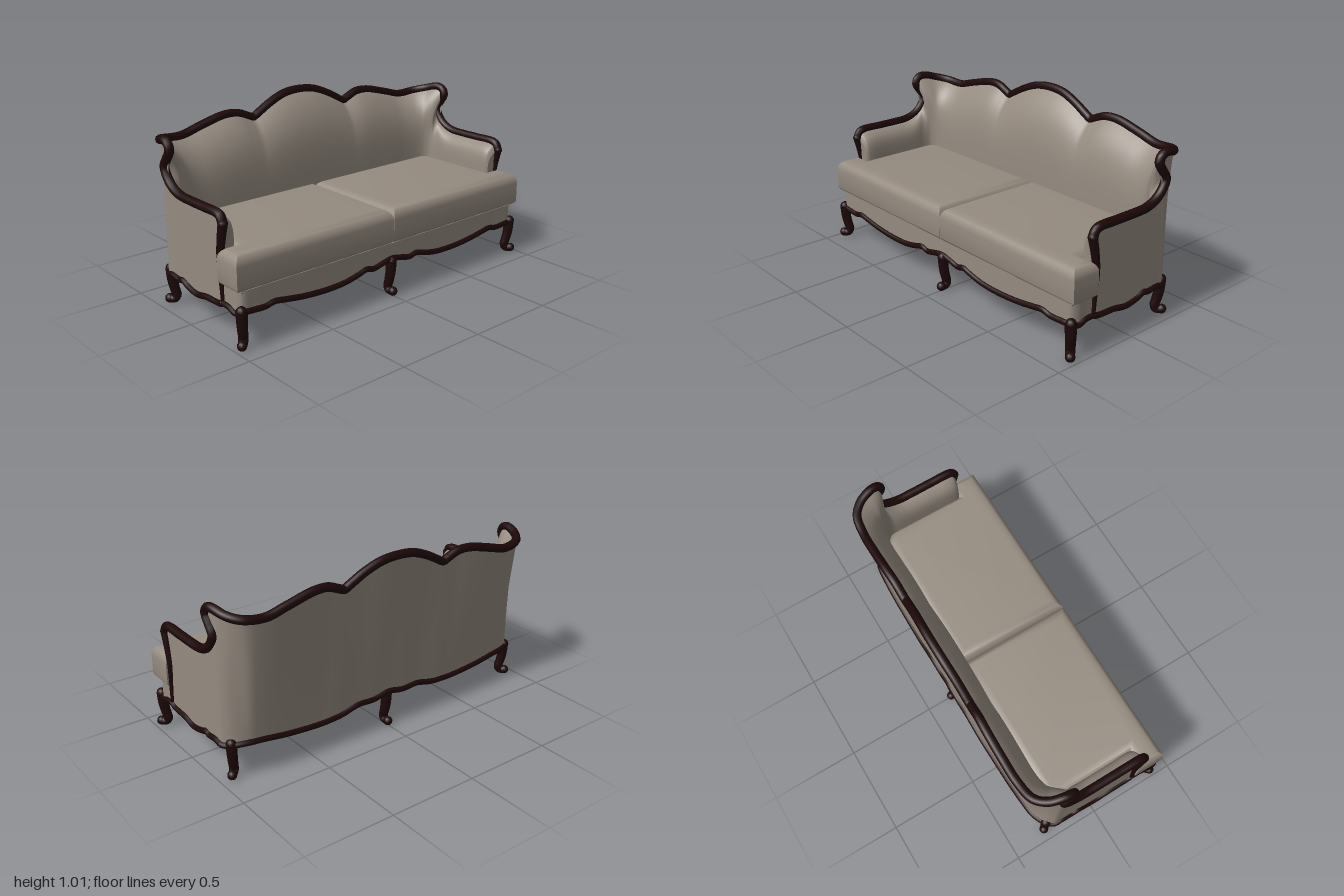
import * as THREE from 'three';
import { toCreasedNormals } from 'three/addons/utils/BufferGeometryUtils.js';

const V = (p) => new THREE.Vector3(...p);
const spline = (pts) => new THREE.CatmullRomCurve3(pts.map(V), false, 'centripetal');
// mirror a half path (left end to centre) into a full one
const full = (h) => spline([...h, ...h.slice(0, -1).reverse().map(([x, y, z]) => [-x, y, z])]);
const smooth = THREE.MathUtils.smoothstep;

// surface from f(u, v) -> Vector3
function grid(nu, nv, f) {
  const pos = [], idx = [];
  for (let j = 0; j <= nv; j++)
    for (let i = 0; i <= nu; i++) pos.push(...f(i / nu, j / nv).toArray());
  for (let j = 0; j < nv; j++)
    for (let i = 0; i < nu; i++) {
      const a = j * (nu + 1) + i, b = a + nu + 1;
      idx.push(a, a + 1, b, a + 1, b + 1, b);
    }
  const g = new THREE.BufferGeometry();
  g.setAttribute('position', new THREE.Float32BufferAttribute(pos, 3));
  g.setIndex(idx);
  g.computeVertexNormals();
  return g;
}

// tube whose radius runs from r0 to r1
function taperedTube(path, segs, r0, r1 = r0) {
  const radial = 10, g = new THREE.TubeGeometry(path, segs, r0, radial);
  const p = g.attributes.position, v = new THREE.Vector3();
  for (let k = 0; k < p.count; k++) {
    const t = Math.floor(k / (radial + 1)) / segs, c = path.getPointAt(t);
    v.fromBufferAttribute(p, k).sub(c).multiplyScalar(1 + (r1 / r0 - 1) * t).add(c);
    p.setXYZ(k, v.x, v.y, v.z);
  }
  return g;
}

export function createModel() {
  const sofa = new THREE.Group();
  sofa.name = 'sofa';
  const fabric = new THREE.MeshStandardMaterial({ color: 0x958b80, side: THREE.DoubleSide });
  fabric.name = 'taupe fabric';
  const wood = new THREE.MeshStandardMaterial({ color: 0x1d0708 });
  wood.name = 'dark wood';
  const add = (name, geo, mat, parent = sofa) => {
    const m = new THREE.Mesh(geo, mat);
    m.name = name;
    parent.add(m);
    return m;
  };

  // matching half outlines: top rail, lower outer edge, inner padding at the seat
  const X = 0.963;
  const rail = full([
    [X, 0.6, 0.266], [X, 0.636, 0.245], [X, 0.643, 0.1], [X, 0.643, 0], [X, 0.648, -0.1],
    [X, 0.675, -0.17], [X, 0.72, -0.215], [X, 0.765, -0.232], [X, 0.81, -0.205],
    [X, 0.855, -0.177], [X, 0.887, -0.19], [0.96, 0.899, -0.23], [0.935, 0.88, -0.31],
    [0.88, 0.864, -0.365], [0.77, 0.855, -0.385], [0.65, 0.885, -0.39], [0.5, 0.92, -0.39],
    [0.42, 0.918, -0.386], [0.355, 0.893, -0.384], [0.32, 0.88, -0.383], [0.285, 0.897, -0.384],
    [0.2, 0.942, -0.388], [0.1, 0.979, -0.394], [0, 0.989, -0.396]]);
  const base = full([
    [X, 0.195, 0.245], [X, 0.185, 0.22], [X, 0.178, 0.1], [X, 0.164, 0.02], [X, 0.177, -0.06],
    [X, 0.195, -0.11], [X, 0.188, -0.14], [X, 0.192, -0.18], [X, 0.194, -0.21],
    [X, 0.19, -0.23], [0.963, 0.187, -0.245], [0.957, 0.185, -0.26], [0.925, 0.19, -0.295],
    [0.86, 0.195, -0.325], [0.77, 0.19, -0.335], [0.65, 0.175, -0.34], [0.5, 0.163, -0.342],
    [0.42, 0.161, -0.343], [0.355, 0.164, -0.344], [0.32, 0.167, -0.344], [0.285, 0.173, -0.344],
    [0.2, 0.192, -0.344], [0.1, 0.188, -0.344], [0, 0.205, -0.344]]);
  const padZ = [0.252, 0.235, 0.1, 0, -0.07, -0.12, -0.16, -0.185, -0.2, -0.212, -0.222, -0.232,
    -0.24, -0.246, -0.25, -0.25, -0.25, -0.25, -0.25, -0.25, -0.25, -0.25, -0.25, -0.25];
  const padX = [0.895, 0.885, 0.885, 0.885, 0.885, 0.885, 0.885, 0.883, 0.88, 0.875, 0.865,
    0.85, 0.825, 0.785, 0.72, 0.63, 0.5, 0.42, 0.355, 0.32, 0.285, 0.2, 0.1, 0];
  const pad = full(padX.map((x, i) => [x, 0.3, padZ[i]]));

  // upholstery shells between those outlines
  const blend = (a, b, v, k) => {
    const w = Math.pow(v, k);
    return new THREE.Vector3(a.x + (b.x - a.x) * w, a.y + (b.y - a.y) * v, a.z + (b.z - a.z) * w);
  };
  const outer = (u, v) => {
    const t = rail.getPoint(u), side = smooth(Math.abs(t.x), 0.85, 0.96);
    t.z -= 0.013 * (1 - side);
    return blend(base.getPoint(u), t, v, 1 + 2 * side);
  };
  // the arm pads are squarer than the back pad
  const inner = (u, v) => {
    const t = rail.getPoint(u);
    return blend(pad.getPoint(u), t, v, 5.5 + 4.5 * (1 - smooth(t.y, 0.645, 0.74)));
  };
  add('outerBackAndSides', grid(184, 14, outer), fabric);
  add('innerPadding', grid(184, 28, inner), fabric);
  for (const u of [0, 1])
    add('armFront', grid(4, 28, (a, v) => {
      const lo = inner(u, v), y = (lo.y - 0.195) / (0.6 - 0.195);
      return lo.lerp(outer(u, y), a);
    }), fabric);

  // front apron with a scalloped lower edge, and the ledge behind it
  const apron = full([
    [X, 0.195, 0.245], [X, 0.192, 0.3], [X, 0.178, 0.35], [0.945, 0.19, 0.38],
    [0.88, 0.187, 0.385], [0.82, 0.185, 0.385], [0.77, 0.195, 0.385], [0.7, 0.185, 0.385],
    [0.6, 0.17, 0.385], [0.45, 0.16, 0.385], [0.32, 0.165, 0.385], [0.23, 0.183, 0.385],
    [0.18, 0.196, 0.385], [0.13, 0.186, 0.385], [0.07, 0.198, 0.385], [0, 0.21, 0.385]]);
  add('frontApron', grid(150, 2, (u, v) => {
    const p = apron.getPoint(u);
    p.y += (0.295 - p.y) * v;
    return p;
  }), fabric);
  add('apronLedge', new THREE.BoxGeometry(1.91, 0.008, 0.135), fabric).position.set(0, 0.287, 0.314);

  // carved wooden trim
  add('topRail', taperedTube(rail, 260, 0.024), wood);
  add('baseTrim', taperedTube(base, 220, 0.017), wood);
  add('apronTrim', taperedTube(apron, 200, 0.016), wood);
  for (const s of [1, -1]) {
    const post = spline([[s * X, 0.19, 0.245], [s * X, 0.3, 0.24], [s * X, 0.43, 0.235],
      [s * X, 0.52, 0.248], [s * X, 0.6, 0.266]]);
    add('armPostTrim', taperedTube(post, 30, 0.011, 0.024), wood);
    add('armPostKnuckle', new THREE.SphereGeometry(0.025, 12, 8), wood).position.set(s * X, 0.6, 0.266);
  }

  // T-shaped seat cushions
  const R = 0.06, H = 0.197;
  for (const s of [1, -1]) {
    const pts = [[R + 0.001, 0.402 - R], [0.987 - R, 0.402 - R], [0.987 - R, 0.24 + R],
      [0.895 - R, 0.24 + R], [0.895 - R, -0.18], [0.875 - R, -0.262 + R], [R + 0.001, -0.262 + R]];
    const shape = new THREE.Shape(pts.map(([x, z]) => new THREE.Vector2(s * x, -z)));
    const g = new THREE.ExtrudeGeometry(shape, {
      depth: H - 2 * R, bevelThickness: R, bevelSize: R, bevelSegments: 6 });
    g.rotateX(-Math.PI / 2);
    // tighter rounding along the lower edge
    const p = g.attributes.position;
    for (let i = 0; i < p.count; i++) {
      const y = p.getY(i);
      if (y < 0) p.setY(i, y * 0.45 - R * 0.55);
    }
    g.translate(0, 0.289 + R, 0);
    add('seatCushion', toCreasedNormals(g, 0.8), fabric);
  }

  // cabriole legs, curling outward at the foot
  const legPath = spline([[0, 0.2, -0.002], [0, 0.13, -0.006], [0, 0.08, -0.016],
    [0, 0.045, -0.024], [0, 0.027, -0.012], [0, 0.027, 0.012]]);
  const q = Math.PI / 4;
  const legs = [[0.957, 0.384, q], [-0.957, 0.384, -q], [0, 0.386, 0],
    [0.93, -0.288, 3 * q], [-0.93, -0.288, -3 * q], [0, -0.335, Math.PI]];
  for (const [x, z, turn] of legs) {
    const leg = new THREE.Group();
    leg.name = 'leg';
    leg.position.set(x, 0, z);
    leg.rotation.y = turn;
    sofa.add(leg);
    add('legShaft', taperedTube(legPath, 24, 0.03, 0.023), wood, leg);
    add('legKnee', new THREE.SphereGeometry(0.028, 12, 8), wood, leg).position.set(0, 0.196, 0);
    add('legFoot', new THREE.SphereGeometry(0.025, 12, 8), wood, leg).position.set(0, 0.027, 0.014);
  }
  return sofa;
}
